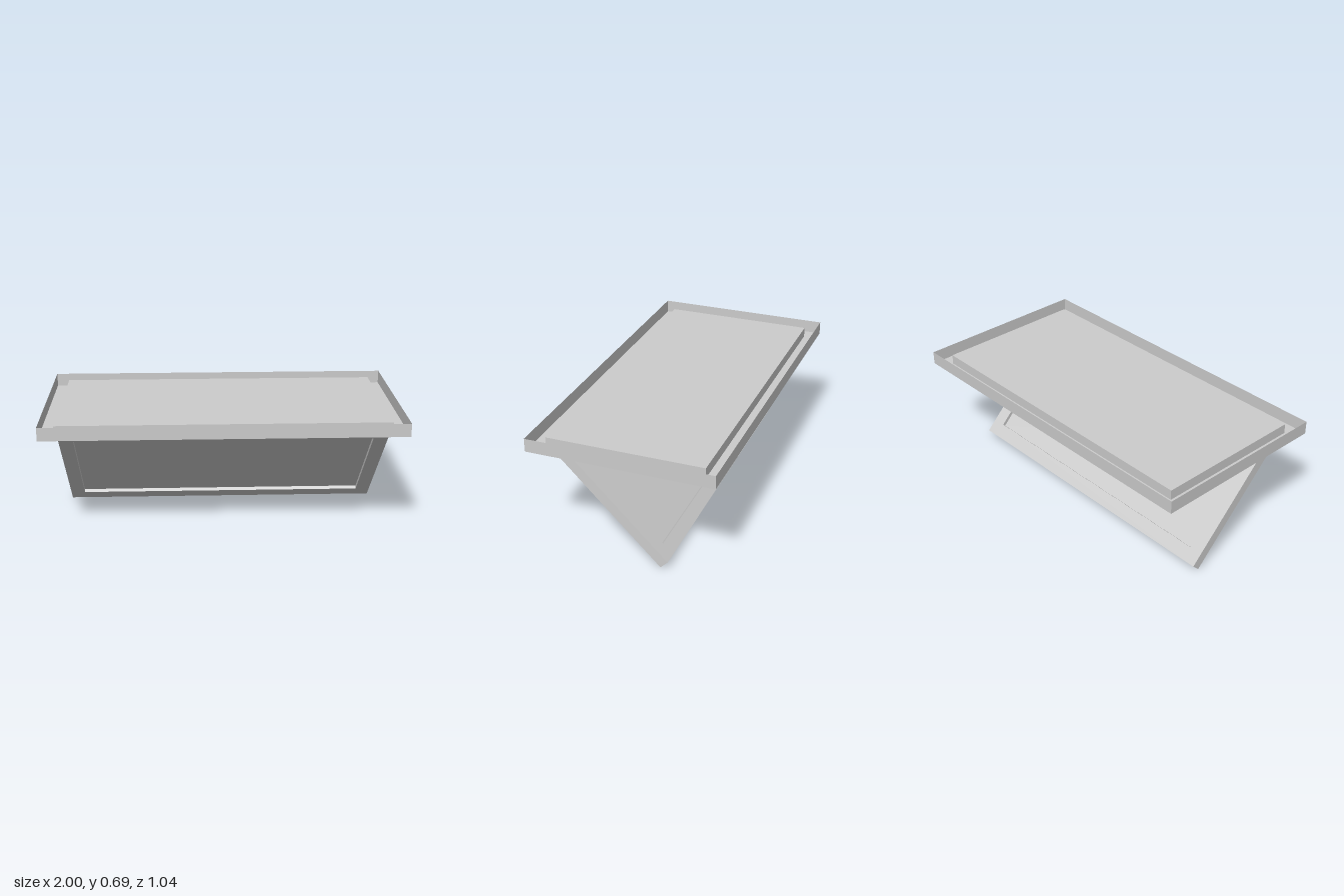
import * as THREE from 'three';

// Rectangle path helper, centred on cx = 0 and cy
function rect(Target, w, h, cy = 0) {
  const p = new Target();
  p.moveTo(-w / 2, cy - h / 2);
  p.lineTo(w / 2, cy - h / 2);
  p.lineTo(w / 2, cy + h / 2);
  p.lineTo(-w / 2, cy + h / 2);
  p.closePath();
  return p;
}

export function createModel() {
  const model = new THREE.Group();
  const grey = new THREE.MeshStandardMaterial({ color: 0xcccccc, side: THREE.DoubleSide });
  grey.name = 'light grey';

  const add = (parent, name, geometry, x = 0, y = 0, z = 0) => {
    const mesh = new THREE.Mesh(geometry, grey);
    mesh.name = name;
    mesh.position.set(x, y, z);
    parent.add(mesh);
    return mesh;
  };

  // Top: thin sheet tray with an upstanding rim and a raised centre panel
  const W = 2, D = 1.04, inset = 0.08, low = 0.615, high = 0.69, panelY = 0.672;
  const top = new THREE.Group();
  top.name = 'top';
  model.add(top);

  // Four upright sheets around a rectangle
  const walls = (name, w, d, y0, y1) => {
    for (const s of [-1, 1]) {
      const long = add(top, name, new THREE.PlaneGeometry(w, y1 - y0), 0, (y0 + y1) / 2, s * d / 2);
      long.rotation.y = s > 0 ? 0 : Math.PI;
      const short = add(top, name, new THREE.PlaneGeometry(d, y1 - y0), s * w / 2, (y0 + y1) / 2, 0);
      short.rotation.y = s * Math.PI / 2;
    }
  };
  walls('outerRim', W, D, low, high);
  walls('panelRiser', W - 2 * inset, D - 2 * inset, low, panelY);

  const border = rect(THREE.Shape, W, D);
  border.holes.push(rect(THREE.Path, W - 2 * inset, D - 2 * inset));
  add(top, 'lowerBorder', new THREE.ShapeGeometry(border), 0, low).rotation.x = -Math.PI / 2;
  add(top, 'centrePanel', new THREE.PlaneGeometry(W - 2 * inset, D - 2 * inset), 0, panelY)
    .rotation.x = -Math.PI / 2;

  // Support: slanted frame with a recessed panel on both faces
  const legW = 1.81, legL = 0.87, legT = 0.058, frame = 0.08, recess = 0.02;
  const support = new THREE.Group();
  support.name = 'slantedSupport';
  support.position.set(0, 0, -0.185);
  support.rotation.x = Math.PI / 4;
  model.add(support);

  const frameShape = rect(THREE.Shape, legW, legL, legL / 2);
  frameShape.holes.push(rect(THREE.Path, legW - 2 * frame, legL - 2 * frame, legL / 2));
  add(support, 'supportFrame',
    new THREE.ExtrudeGeometry(frameShape, { depth: legT, bevelEnabled: false }), 0, 0, -legT);
  add(support, 'supportPanel',
    new THREE.BoxGeometry(legW - 2 * frame, legL - 2 * frame, legT - 2 * recess), 0, legL / 2, -legT / 2);

  return model;
}
